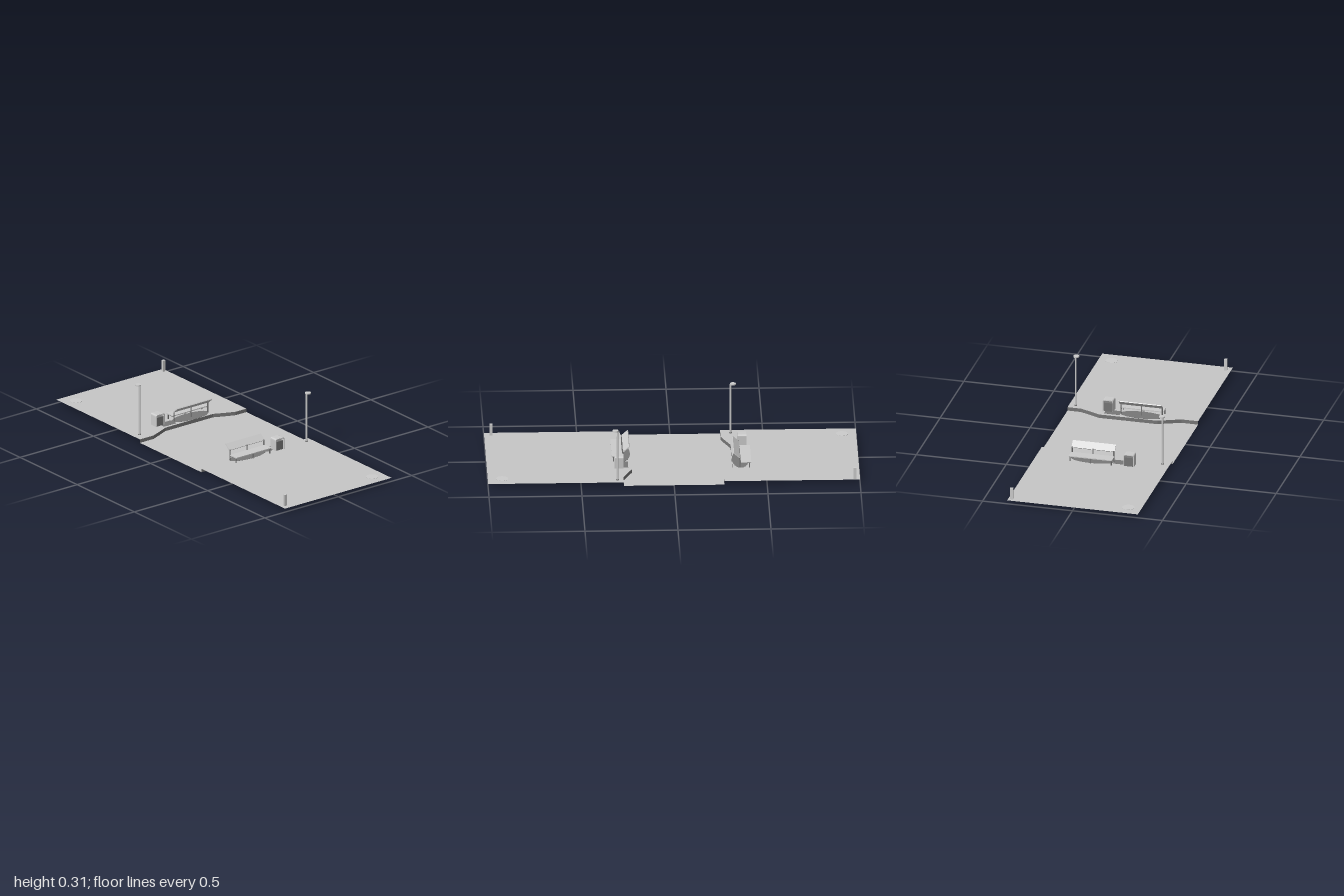
import * as THREE from 'three';

const mat = (name, color, side = THREE.FrontSide) => {
  const m = new THREE.MeshStandardMaterial({ color, side });
  m.name = name;
  return m;
};

export function createModel() {
  const light = mat('lightGrey', 0xcccccc);
  const paving = mat('pavingGrey', 0xc6c6c6, THREE.DoubleSide);
  const dark = mat('darkGrey', 0x777777, THREE.DoubleSide);
  const root = new THREE.Group();
  const GROUND = 0.02, HALF = 0.363;

  const add = (parent, name, geo, m, x = 0, y = 0, z = 0) => {
    const mesh = new THREE.Mesh(geo, m);
    mesh.name = name;
    mesh.position.set(x, y, z);
    parent.add(mesh);
    return mesh;
  };
  const box = (parent, name, m, w, h, d, x, y, z) =>
    add(parent, name, new THREE.BoxGeometry(w, h, d), m, x, y, z);
  const group = (name, x = 0, z = 0, turn = 0) => {
    const g = new THREE.Group();
    g.name = name;
    g.position.set(x, 0, z);
    g.rotation.y = turn;
    root.add(g);
    return g;
  };

  // Kerb line: x offset against z, shared by both sides of the road
  const kerb = [[0, HALF], [0, 0.27], [-0.02, 0.22], [-0.05, 0.15], [-0.05, -0.175],
    [-0.02, -0.24], [0, -0.29], [0, -HALF]];
  const edge = (x0) => kerb.map(([x, z]) => [x + x0, z]);
  const left = edge(0.27), right = edge(-0.27);

  // Flat ground pieces, drawn as shapes in (x, -z) and laid down
  const slab = (name, pts, y) => {
    const shape = new THREE.Shape(pts.map(([x, z]) => new THREE.Vector2(x, -z)));
    add(root, name, new THREE.ShapeGeometry(shape).rotateX(-Math.PI / 2), paving, 0, y, 0);
  };
  slab('road', [...left, ...right.slice().reverse()], 0);
  slab('leftPavement', [...left, [1, -HALF], [1, HALF]], GROUND);
  slab('rightPavement', [...right, [-1, -HALF], [-1, HALF]], GROUND);

  // Vertical kerb faces
  for (const [name, line] of [['leftKerb', left], ['rightKerb', right]]) {
    const pos = [];
    for (let i = 0; i < line.length - 1; i++) {
      const [ax, az] = line[i], [bx, bz] = line[i + 1];
      pos.push(ax, 0, az, bx, 0, bz, bx, GROUND, bz, ax, 0, az, bx, GROUND, bz, ax, GROUND, az);
    }
    const geo = new THREE.BufferGeometry();
    geo.setAttribute('position', new THREE.Float32BufferAttribute(pos, 3));
    geo.computeVertexNormals();
    add(root, name, geo, dark);
  }

  // Bench facing local +x, with its leaning backrest at local -x
  const bench = (name, x, z, turn) => {
    const g = group(name, x, z, turn), L = 0.24;
    box(g, 'seat', light, 0.056, 0.005, L, 0.033, 0.051, 0);
    const back = box(g, 'backrest', light, 0.005, 0.043, L, -0.017, 0.091, 0);
    back.rotation.z = 0.85;
    for (const lz of [-0.115, 0, 0.115]) {
      box(g, 'frontLeg', dark, 0.005, 0.03, 0.005, 0.052, 0.035, lz);
      box(g, 'backPost', dark, 0.005, 0.062, 0.005, 0, 0.051, lz);
      box(g, 'seatBearer', dark, 0.056, 0.004, 0.005, 0.028, 0.047, lz);
    }
    // Dark ground patches beside and below the seat
    const patch = add(g, 'benchPatch', new THREE.CylinderGeometry(1, 1, 0.0016, 24), dark, 0.005, GROUND, 0);
    patch.scale.set(0.045, 1, 0.12);
    box(g, 'binPatch', dark, 0.05, 0.0016, 0.085, 0, GROUND, -0.16);
  };
  bench('leftBench', 0.265, 0.05, 0);
  bench('rightBench', -0.36, -0.055, Math.PI);

  // Litter bin: a dark box under a rounded folded hood
  const bin = (name, x, z, turn) => {
    const g = group(name, x, z, turn);
    box(g, 'binBody', dark, 0.042, 0.054, 0.046, 0, 0.043, 0);
    const arch = (s, w, top, r) => {
      s.moveTo(-w, GROUND);
      s.lineTo(-w, top - r);
      s.quadraticCurveTo(-w, top, -w + r, top);
      s.lineTo(w - r, top);
      s.quadraticCurveTo(w, top, w, top - r);
      s.lineTo(w, GROUND);
      s.closePath();
      return s;
    };
    const hood = arch(new THREE.Shape(), 0.029, 0.087, 0.01);
    // Inner cut leaves an open-bottomed shell
    const shell = new THREE.Shape([
      ...hood.getPoints(5).slice(0, -1),
      ...arch(new THREE.Path(), 0.025, 0.083, 0.007).getPoints(5).slice(0, -1).reverse(),
    ]);
    const geo = new THREE.ExtrudeGeometry(shell, { depth: 0.048, bevelEnabled: false });
    geo.translate(0, 0, -0.024).rotateY(Math.PI / 2);
    add(g, 'binHood', geo, light);
  };
  bin('leftBin', 0.29, -0.138, 0);
  bin('rightBin', -0.38, 0.155, Math.PI);

  // Street lamps with a disc head hung off one side of the post
  const lamp = (name, x, z, headX) => {
    const g = group(name, x, z);
    add(g, 'post', new THREE.CylinderGeometry(0.0045, 0.005, 0.288, 12), light, 0, 0.16, 0);
    add(g, 'postFoot', new THREE.CylinderGeometry(0.008, 0.008, 0.006, 12), dark, 0, 0.0205, 0);
    add(g, 'lampHead', new THREE.CylinderGeometry(0.016, 0.016, 0.007, 20), light, headX, 0.304, 0);
    add(g, 'lampGlass', new THREE.CylinderGeometry(0.011, 0.011, 0.002, 20), dark, headX, 0.2998, 0);
  };
  lamp('leftLamp', 0.303, -0.326, 0.012);
  lamp('rightLamp', -0.325, 0.322, -0.013);

  // Corner bollards and round covers
  for (const [x, z] of [[0.962, 0.334], [-0.973, -0.345]])
    box(root, 'bollard', light, 0.015, 0.067, 0.016, x, 0.05, z);
  for (const s of [1, -1])
    add(root, 'roundCover', new THREE.CylinderGeometry(0.033, 0.033, 0.007, 28), light, 0.923 * s, 0.0178, -0.29 * s);

  return root;
}
